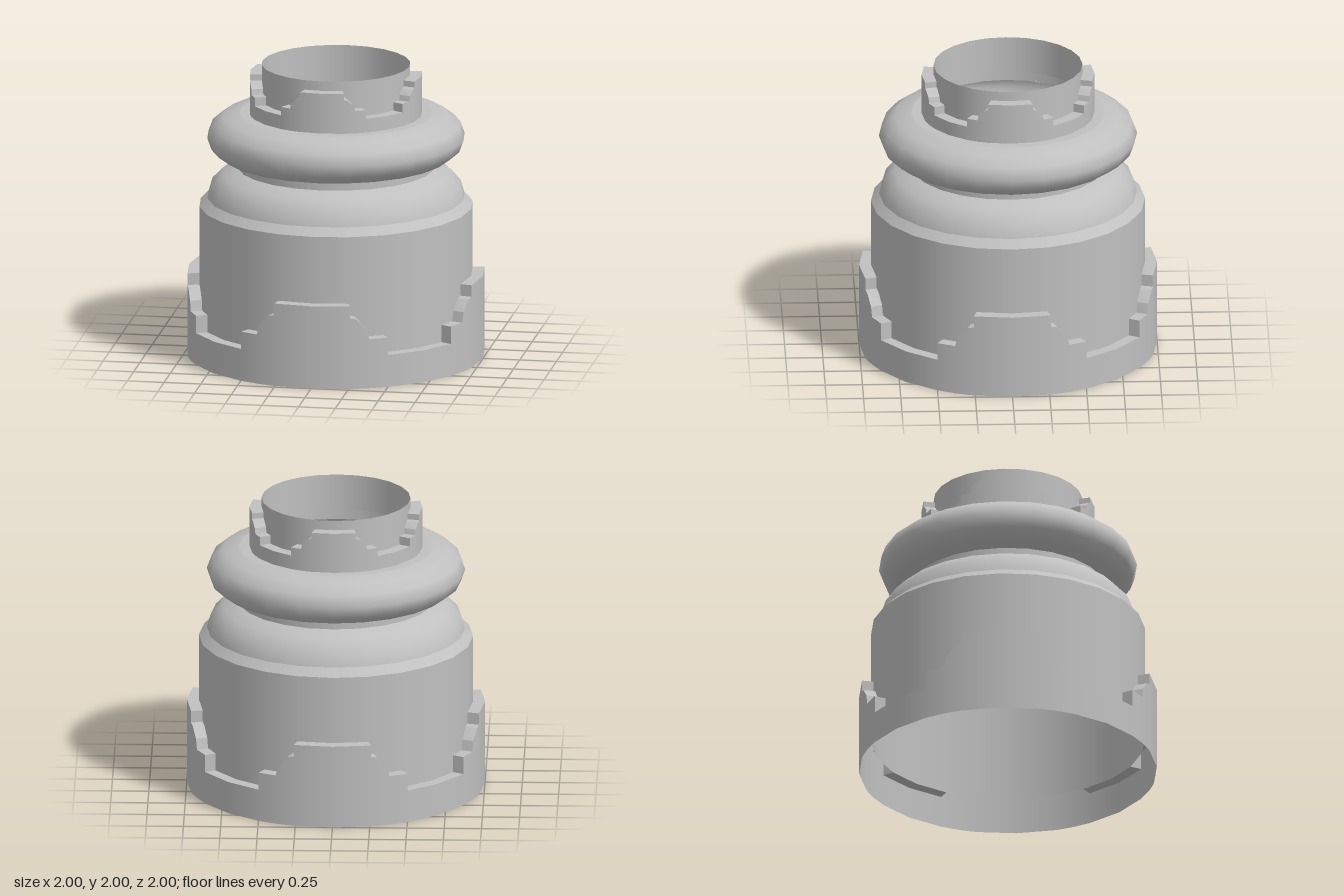
import * as THREE from 'three';

const SIDES = 24;

// Smooth open shell of revolution from [radius, height] points, bottom to top
function shell(name, points, material) {
  const profile = points.map(([r, y]) => new THREE.Vector2(r, y));
  const mesh = new THREE.Mesh(new THREE.LatheGeometry(profile, SIDES), material);
  mesh.name = name;
  return mesh;
}

// Stepped outline around the full circle: [angle, height] pairs.
// Each eighth runs from a crest through a rounded step down to a notch.
function steppedOutline(heights) {
  const [crest, lip, curve1, curve2, step, notch] = heights;
  const eighth = [
    [0, crest], [15, crest], [15, lip], [17.5, curve1], [21.5, curve2],
    [22.5, step], [30, step], [30, notch], [45, notch],
  ];
  const quarter = [...eighth, ...eighth.slice(0, -1).reverse().map(([a, y]) => [90 - a, y])];
  const outline = [];
  for (let q = 0; q < 4; q++) {
    quarter.slice(0, -1).forEach(([a, y]) => outline.push([THREE.MathUtils.degToRad(a + q * 90), y]));
  }
  outline.push([Math.PI * 2, crest]);
  return outline;
}

function quadGeometry(quads) {
  const positions = [];
  for (const [a, b, c, d] of quads) positions.push(...a, ...b, ...c, ...a, ...c, ...d);
  const geometry = new THREE.BufferGeometry();
  geometry.setAttribute('position', new THREE.Float32BufferAttribute(positions, 3));
  geometry.computeVertexNormals();
  return geometry;
}

// Collar: smooth outer wall plus a flat-faced ledge that follows the steps
function collar(name, outer, inner, base, heights, material) {
  const at = (r, angle, y) => [r * Math.sin(angle), y, r * Math.cos(angle)];
  const outline = steppedOutline(heights);
  const wall = [], ledge = [];
  for (let i = 0; i < outline.length - 1; i++) {
    const [a0, y0] = outline[i], [a1, y1] = outline[i + 1];
    if (a1 > a0) wall.push([at(outer, a0, base), at(outer, a1, base), at(outer, a1, y1), at(outer, a0, y0)]);
    ledge.push([at(outer, a0, y0), at(outer, a1, y1), at(inner, a1, y1), at(inner, a0, y0)]);
  }
  const wallGeometry = quadGeometry(wall);
  const p = wallGeometry.attributes.position, n = wallGeometry.attributes.normal;
  for (let i = 0; i < p.count; i++) n.setXYZ(i, p.getX(i) / outer, 0, p.getZ(i) / outer);

  const group = new THREE.Group();
  group.name = name;
  const wallMesh = new THREE.Mesh(wallGeometry, material);
  wallMesh.name = name + 'Wall';
  const ledgeMesh = new THREE.Mesh(quadGeometry(ledge), material);
  ledgeMesh.name = name + 'Ledge';
  group.add(wallMesh, ledgeMesh);
  return group;
}

export function createModel() {
  const grey = new THREE.MeshStandardMaterial({ color: 0xc0c0c0, side: THREE.DoubleSide });
  grey.name = 'plain grey';
  const model = new THREE.Group();
  model.name = 'steppedCollarColumn';

  // Rounded ring: half an ellipse swept around the axis
  const ring = [];
  for (let i = 0; i <= 6; i++) {
    const t = -Math.PI / 2 + (i * Math.PI) / 6;
    ring.push([0.65 + 0.217 * Math.cos(t), 1.5 + 0.16 * Math.sin(t)]);
  }

  model.add(
    collar('baseCollar', 1, 0.92, 0, [0.57, 0.49, 0.48, 0.41, 0.34, 0.22], grey),
    shell('body', [[0.92, 0.22], [0.92, 1.03]], grey),
    shell('bodyBevel', [[0.92, 1.03], [0.866, 1.085]], grey),
    shell('shoulder', [[0.866, 1.085], [0.84, 1.175], [0.765, 1.25], [0.66, 1.287]], grey),
    shell('neck', [[0.66, 1.287], [0.66, 1.34]], grey),
    shell('roundedRing', ring, grey),
    shell('ringTop', [[0.65, 1.66], [0.58, 1.66]], grey),
    collar('topCollar', 0.58, 0.5, 1.66, [1.935, 1.895, 1.885, 1.85, 1.813, 1.755], grey),
    shell('topTube', [[0.5, 1.755], [0.5, 2]], grey),
  );
  return model;
}
